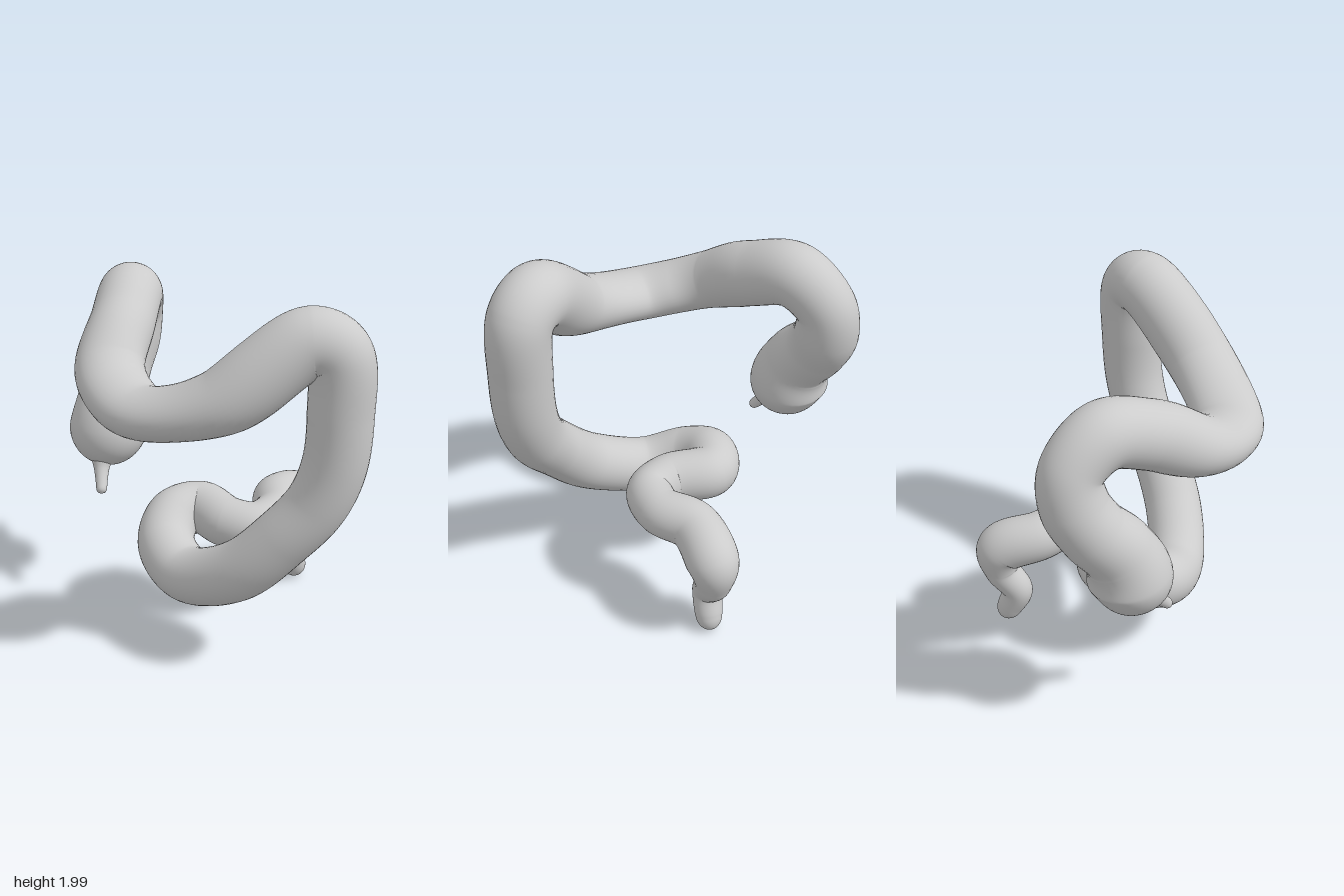
import * as THREE from 'three';

const SIDES = 36, STEPS = 18;
const material = new THREE.MeshStandardMaterial({ color: 0xcccccc });

// Each part: stations of [x, y, z, radius]; it runs on into the next part.
const colon = [
  ['cecum', [[-0.735, 0.765, 0.175, 0.2], [-0.715, 0.97, 0.17, 0.215], [-0.74, 1.13, 0.115, 0.187]]],
  ['ascendingColon', [[-0.79, 1.28, 0, 0.173], [-0.8, 1.43, -0.085, 0.17], [-0.775, 1.6, -0.1, 0.158]]],
  ['hepaticFlexure', [[-0.655, 1.73, 0.03, 0.17], [-0.5, 1.655, 0.23, 0.172]]],
  ['transverseColon', [
    [-0.35, 1.515, 0.455, 0.18], [-0.18, 1.445, 0.55, 0.183],
    [0.04, 1.415, 0.585, 0.183], [0.41, 1.53, 0.42, 0.183]]],
  ['splenicFlexure', [[0.69, 1.82, 0.095, 0.175], [0.785, 1.765, 0.01, 0.168]]],
  ['descendingColon', [
    [0.808, 1.45, 0, 0.164], [0.795, 1.18, 0.022, 0.162],
    [0.74, 0.98, 0.08, 0.158], [0.62, 0.79, 0.185, 0.155]]],
  ['sigmoidColon', [
    [0.41, 0.56, 0.295, 0.158], [0.08, 0.425, 0.335, 0.155], [-0.15, 0.49, 0.27, 0.155],
    [-0.24, 0.575, 0.12, 0.15], [-0.19, 0.59, -0.025, 0.145], [0.04, 0.585, -0.015, 0.138]]],
  ['rectum', [
    [0.17, 0.585, -0.09, 0.13], [0.165, 0.59, -0.26, 0.13], [0.03, 0.58, -0.42, 0.137],
    [-0.005, 0.5, -0.625, 0.14], [-0.01, 0.36, -0.63, 0.1]]],
  ['analCanal', [[-0.01, 0.22, -0.545, 0.085], [0, 0.1, -0.59, 0.075], [0, 0.01, -0.635, 0.06]]],
];

const appendix = [
  ['appendix', [[-0.68, 0.86, 0.25, 0.075], [-0.64, 0.78, 0.295, 0.042], [-0.57, 0.675, 0.36, 0.028]]],
];

// Sweeps a round-ended tube of changing radius, then cuts it into named meshes.
function buildTube(parts, group) {
  const stations = parts.flatMap(([, list]) => list);
  const path = new THREE.CatmullRomCurve3(stations.map(([x, y, z]) => new THREE.Vector3(x, y, z)));
  const radii = new THREE.SplineCurve(stations.map((s, i) => new THREE.Vector2(i, s[3])));
  const rows = (stations.length - 1) * STEPS;
  const points = path.getPoints(rows);
  const along = [0];
  for (let i = 1; i <= rows; i++) along.push(along[i - 1] + points[i].distanceTo(points[i - 1]));

  const positions = [];
  const normal = new THREE.Vector3(1, 0, 0.3);
  for (let i = 0; i <= rows; i++) {
    const tangent = path.getTangent(i / rows);
    normal.addScaledVector(tangent, -normal.dot(tangent)).normalize();
    const side = tangent.clone().cross(normal);
    const radius = radii.getPoint(i / rows).y;
    // The tube flattens where it sags forward
    const squash = 1 - 0.3 * THREE.MathUtils.smoothstep(points[i].z, 0.28, 0.58);
    // Dome over both ends
    const gap = Math.min(along[i], along[rows] - along[i]);
    const dome = gap < radius ? Math.sqrt(1 - (1 - gap / radius) ** 2) : 1;
    for (let j = 0; j < SIDES; j++) {
      const a = (j / SIDES) * Math.PI * 2;
      const offset = normal.clone().multiplyScalar(Math.cos(a))
        .addScaledVector(side, Math.sin(a)).multiplyScalar(radius * dome);
      offset.y *= squash;
      positions.push(...offset.add(points[i]).toArray());
    }
  }

  const rowIndices = (from, to) => {
    const index = [];
    for (let i = from; i < to; i++) {
      for (let j = 0; j < SIDES; j++) {
        const a = i * SIDES + j, b = i * SIDES + (j + 1) % SIDES;
        index.push(a, b, a + SIDES, b, b + SIDES, a + SIDES);
      }
    }
    return index;
  };

  const whole = new THREE.BufferGeometry();
  whole.setAttribute('position', new THREE.Float32BufferAttribute(positions, 3));
  whole.setIndex(rowIndices(0, rows));
  whole.computeVertexNormals();

  // Parts share normals, so the joints stay smooth
  let start = 0;
  for (const [name, list] of parts) {
    const end = Math.min(start + list.length * STEPS, rows);
    const geometry = whole.clone();
    geometry.setIndex(rowIndices(start, end));
    const mesh = new THREE.Mesh(geometry, material);
    mesh.name = name;
    group.add(mesh);
    start = end;
  }
}

export function createModel() {
  const group = new THREE.Group();
  group.name = 'largeIntestine';
  buildTube(colon, group);
  buildTube(appendix, group);
  return group;
}
